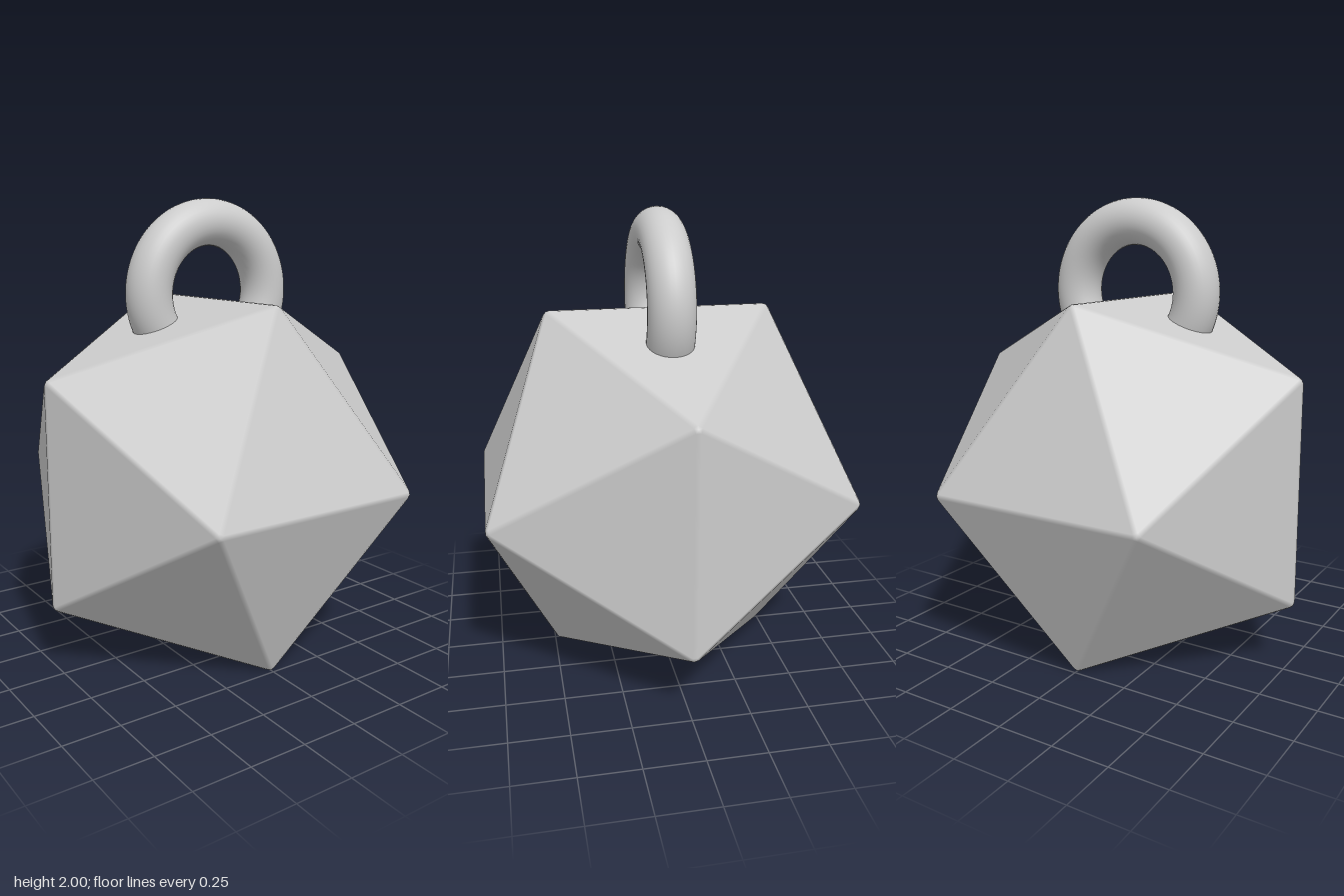
import * as THREE from 'three';
import { ConvexGeometry } from 'three/addons/geometries/ConvexGeometry.js';

const HALF = 0.787;      // half height of the body
const BEVEL = 0.03;      // edge rounding radius

// Icosahedron with softly rounded edges: offset each core corner along its face normals
function roundedIcosahedron() {
  const phi = (1 + Math.sqrt(5)) / 2;
  const t = HALF - BEVEL * 0.934;
  const core = new THREE.IcosahedronGeometry(t * Math.sqrt(1 + 1 / (phi * phi)), 0);
  core.rotateY(Math.PI / 2);
  const pos = core.attributes.position;
  const points = [];
  const corners = [];
  for (let i = 0; i < pos.count; i += 3) {
    const tri = [0, 1, 2].map(k => new THREE.Vector3().fromBufferAttribute(pos, i + k));
    const normal = tri[0].clone().add(tri[1]).add(tri[2]).normalize();
    for (const v of tri) {
      points.push(v.clone().addScaledVector(normal, BEVEL));
      if (!corners.some(c => c.distanceTo(v) < 1e-4)) corners.push(v);
    }
  }
  for (const c of corners) points.push(c.clone().setLength(c.length() + BEVEL));

  // Normals point away from the nearest core corner: flat faces, smooth bevels
  const geo = new ConvexGeometry(points);
  const p = new THREE.Vector3();
  const g = geo.attributes.position;
  for (let i = 0; i < g.count; i++) {
    p.fromBufferAttribute(g, i);
    const near = corners.reduce((a, b) => (p.distanceTo(a) < p.distanceTo(b) ? a : b));
    p.sub(near).normalize();
    geo.attributes.normal.setXYZ(i, p.x, p.y, p.z);
  }
  return geo;
}

export function createModel() {
  const group = new THREE.Group();
  group.name = 'icosahedronPendant';
  const grey = new THREE.MeshStandardMaterial({ color: 0xcccccc });
  grey.name = 'light grey';

  // Twenty-sided body resting on one edge
  const body = new THREE.Mesh(roundedIcosahedron(), grey);
  body.name = 'body';
  body.position.y = HALF;
  group.add(body);

  // Hanging ring sunk into the top edge
  const ring = new THREE.Mesh(new THREE.TorusGeometry(0.3, 0.1, 32, 96), grey);
  ring.name = 'hangingRing';
  ring.position.y = 1.6;
  group.add(ring);

  return group;
}
